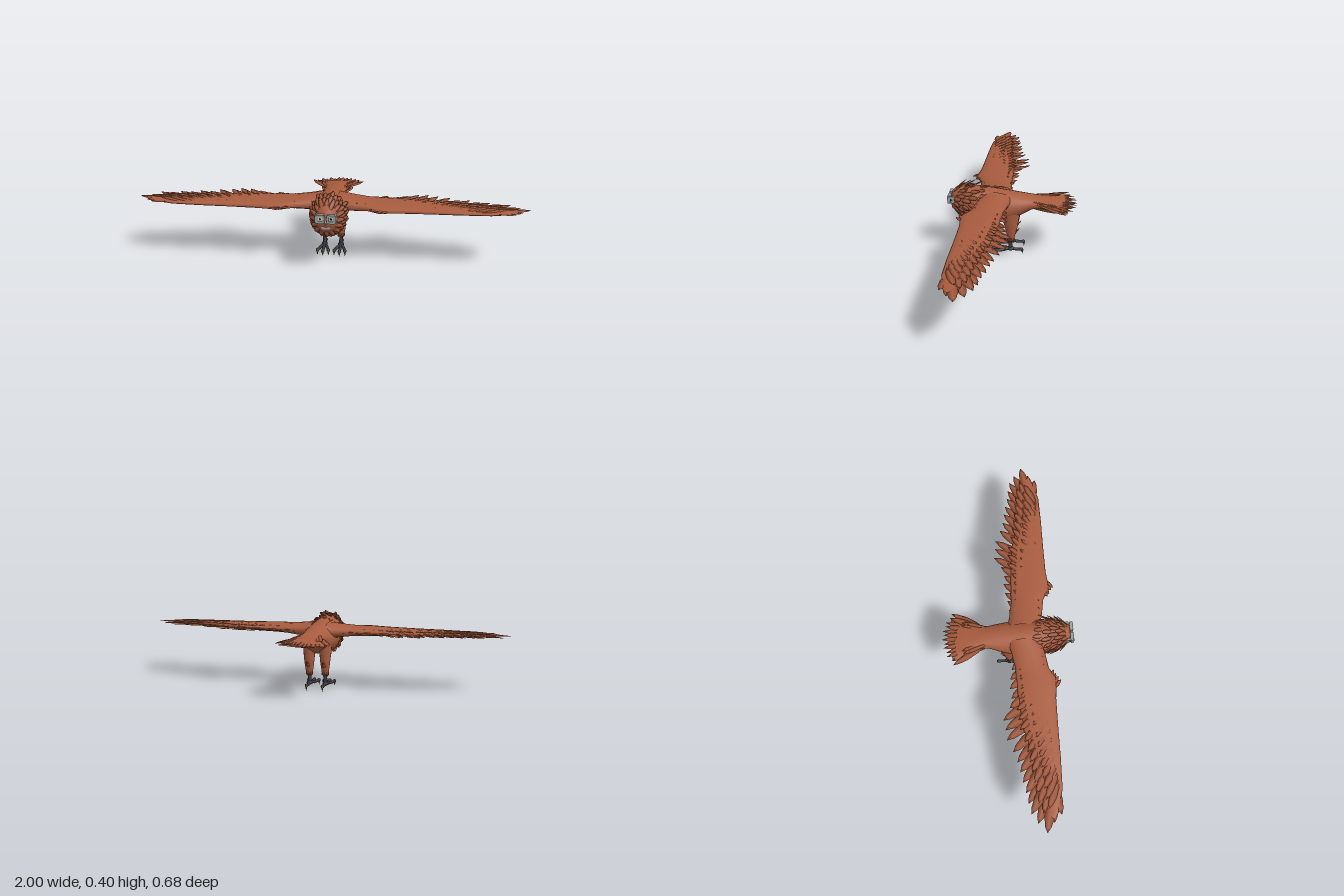
import * as THREE from 'three';
import { mergeGeometries } from 'three/addons/utils/BufferGeometryUtils.js';

const V = (x, y, z) => new THREE.Vector3(x, y, z);
const lerp = THREE.MathUtils.lerp;

function mat(name, color, side = THREE.FrontSide) {
  const m = new THREE.MeshStandardMaterial({ color, side });
  m.name = name;
  return m;
}

// Skin a list of equal-length closed rings of points
function loft(rings) {
  const n = rings[0].length, pos = [], idx = [];
  rings.forEach(r => r.forEach(p => pos.push(p.x, p.y, p.z)));
  for (let i = 0; i < rings.length - 1; i++)
    for (let j = 0; j < n; j++) {
      const a = i * n + j, b = i * n + (j + 1) % n;
      idx.push(a, b, a + n, b, b + n, a + n);
    }
  const g = new THREE.BufferGeometry();
  g.setAttribute('position', new THREE.Float32BufferAttribute(pos, 3));
  g.setIndex(idx);
  g.computeVertexNormals();
  return g;
}

// Thin pointed leaf from base to tip; "up" is the direction its flat side faces
function feather(base, tip, halfWidth, up, flat = 0.14) {
  const d = tip.clone().sub(base), len = d.length();
  d.normalize();
  const n = up.clone().addScaledVector(d, -up.dot(d)).normalize();
  const side = d.clone().cross(n);
  const profile = [[0, 0], [0.8, 0.25], [1, 0.6], [0.62, 0.85], [0, 1]];
  const g = new THREE.LatheGeometry(
    profile.map(([r, y]) => new THREE.Vector2(r * halfWidth, y * len)), 4);
  g.scale(1, 1, flat);
  const m = new THREE.Matrix4().makeBasis(side, d, n).setPosition(base);
  return g.applyMatrix4(m);
}

// Body cross-sections: z, top, bottom, half width
const BODY = [
  [0.327, 0.300, 0.275, 0.010], [0.322, 0.338, 0.240, 0.040], [0.30, 0.358, 0.218, 0.058],
  [0.26, 0.368, 0.193, 0.074], [0.20, 0.369, 0.175, 0.084], [0.15, 0.364, 0.174, 0.087],
  [0.10, 0.357, 0.183, 0.088], [0.05, 0.350, 0.189, 0.087], [0.00, 0.344, 0.196, 0.083],
  [-0.05, 0.337, 0.226, 0.073], [-0.10, 0.331, 0.258, 0.060], [-0.14, 0.323, 0.268, 0.062],
  [-0.20, 0.311, 0.272, 0.085], [-0.26, 0.302, 0.274, 0.116], [-0.29, 0.290, 0.284, 0.118],
];

function bodyPoint(z, a) {
  let i = 0;
  while (i < BODY.length - 2 && z < BODY[i + 1][0]) i++;
  const p = BODY[i], q = BODY[i + 1], t = (p[0] - z) / (p[0] - q[0]);
  const [top, bot, w] = [1, 2, 3].map(k => lerp(p[k], q[k], t));
  return V(Math.cos(a) * w, (top + bot) / 2 + Math.sin(a) * (top - bot) / 2, z);
}

// Wing cross-sections: x, front z, back z, half thickness
const WING = [
  [0.04, 0.17, 0.00, 0.045], [0.10, 0.185, 0.015, 0.036], [0.19, 0.20, 0.03, 0.026],
  [0.25, 0.236, 0.03, 0.024], [0.35, 0.224, 0.035, 0.021], [0.50, 0.222, 0.05, 0.017],
  [0.65, 0.222, 0.09, 0.014], [0.80, 0.218, 0.12, 0.010], [0.91, 0.19, 0.14, 0.006],
  [0.95, 0.16, 0.14, 0.001],
];
// Flight feather tips: x, z
const TIPS = [
  [0.14, 0.015], [0.19, 0.01], [0.24, 0.00], [0.29, -0.005], [0.34, 0.00], [0.39, -0.012],
  [0.45, -0.048], [0.50, -0.04], [0.55, -0.035], [0.61, -0.008], [0.66, 0.01], [0.71, 0.02],
  [0.76, 0.03], [0.81, 0.042], [0.86, 0.05], [0.91, 0.062], [0.955, 0.09], [1.0, 0.13],
  [0.955, 0.168], [0.92, 0.205],
];

export function createModel() {
  const root = new THREE.Group();
  root.name = 'bird';
  const plumage = mat('rust plumage', 0xa85c3f, THREE.DoubleSide);
  const skin = mat('charcoal skin', 0x3a3a3e);
  const horn = mat('olive horn', 0x6e6838);
  const metal = mat('grey metal', 0x9b9f9e);
  const dark = mat('dark lens', 0x22282a);
  const ivory = mat('ivory', 0xd8d6cc);
  const add = (parent, name, geo, m) => {
    const mesh = new THREE.Mesh(geo, m);
    mesh.name = name;
    parent.add(mesh);
    return mesh;
  };
  const box = (parent, name, m, w, h, d, x, y, z) =>
    add(parent, name, new THREE.BoxGeometry(w, h, d).translate(x, y, z), m);

  // Body running from face to tail
  const N = 24;
  add(root, 'body', loft(BODY.map(s =>
    Array.from({ length: N }, (_, j) => bodyPoint(s[0], j / N * Math.PI * 2)))), plumage);

  // Shaggy mane, swept backward in staggered rows
  const mane = [];
  [0.318, 0.295, 0.265, 0.23, 0.19].forEach((z, row) => {
    for (let j = 0; j < 16; j++) {
      const a = (j + row % 2 * 0.5) / 16 * Math.PI * 2;
      const up = Math.max(0, Math.sin(a));
      const p = bodyPoint(z, a), out = V(Math.cos(a), Math.sin(a), 0);
      const lift = row < 4 ? 0.017 + 0.013 * up * (j % 2) : 0.004;
      const z2 = z - 0.05 - 0.008 * (j % 3);
      const tip = bodyPoint(z2, a).addScaledVector(out, lift);
      mane.push(feather(p.addScaledVector(out, -0.004), tip, 0.012, out, 0.25));
    }
  });
  add(root, 'mane', mergeGeometries(mane), plumage);

  // Tail fan
  const tail = [];
  for (let i = -6; i <= 6; i++) {
    const t = i / 6, y = 0.292 + (i % 2) * 0.004;
    tail.push(feather(V(t * 0.05, y + 0.012, -0.12),
      V(t * 0.142, y, -0.342 + 0.055 * t * t + (i % 2 ? 0.008 : 0)), 0.017, V(0, 1, 0)));
    if (Math.abs(i) < 6) for (const s of [1, -1])
      tail.push(feather(V(t * 0.045, 0.297 + s * 0.02, -0.09),
        V(t * 0.105, 0.288 + s * 0.014, -0.25 + 0.02 * t * t), 0.012, V(0, 1, 0)));
  }
  add(root, 'tailFeathers', mergeGeometries(tail), plumage);

  // Face: beak and small teeth
  const beak = new THREE.ConeGeometry(0.012, 0.022, 6).rotateX(Math.PI / 2 + 0.4);
  add(root, 'beak', beak.translate(0, 0.277, 0.331), metal);
  box(root, 'jaw', metal, 0.046, 0.012, 0.012, 0, 0.252, 0.318);
  for (let i = -2; i <= 2; i++)
    add(root, 'tooth', new THREE.ConeGeometry(0.004, 0.012, 5)
      .translate(i * 0.009, 0.264, 0.323 - Math.abs(i) * 0.001), ivory);
  box(root, 'goggleBridge', metal, 0.018, 0.008, 0.008, 0, 0.305, 0.332);

  for (const s of [1, -1]) {
    const label = s > 0 ? 'left' : 'right';

    // Goggles: framed front lens and framed side lens
    const goggle = new THREE.Group();
    goggle.name = label + 'Goggle';
    root.add(goggle);
    for (const k of [-1, 1]) {
      box(goggle, 'frameBar', metal, 0.038, 0.012, 0.018, s * 0.026, 0.303 + k * 0.016, 0.332);
      box(goggle, 'framePost', metal, 0.01, 0.036, 0.018, s * (0.026 + k * 0.015), 0.303, 0.331);
      box(goggle, 'sideBlock', metal, 0.012, 0.038, 0.015, s * 0.046, 0.303, 0.322 + k * 0.012);
    }
    box(goggle, 'sidePanel', metal, 0.008, 0.034, 0.034, s * 0.044, 0.303, 0.322);
    box(goggle, 'sideLens', dark, 0.004, 0.012, 0.008, s * 0.0485, 0.303, 0.322);
    box(goggle, 'lens', ivory, 0.022, 0.022, 0.008, s * 0.026, 0.303, 0.331);
    box(goggle, 'pupil', dark, 0.009, 0.009, 0.003, s * 0.026, 0.303, 0.336);

    // Wing: thin lens-shaped core
    const wing = new THREE.Group();
    wing.name = label + 'Wing';
    root.add(wing);
    const M = 14;
    add(wing, 'wingCore', loft(WING.map(([x, zf, zb, h]) =>
      Array.from({ length: M }, (_, j) => {
        const a = -s * j / M * Math.PI * 2;
        return V(s * x, 0.31 + Math.sin(a) * h, (zf + zb) / 2 + Math.cos(a) * (zf - zb) / 2);
      }))), plumage);

    // Flight feathers, then shorter coverts above and below
    const up = V(0, 1, 0), plumes = [];
    TIPS.forEach(([x, z], i) => {
      const y = 0.31 + (i % 2 ? 0.002 : -0.002);
      const reach = 0.07 + 0.12 * x;
      const bz = lerp(0.13, 0.17, x);
      plumes.push(feather(V(s * (x - reach), y, bz), V(s * x, y, z), 0.025, up, 0.12));
      if (i < 17) for (const k of [1, -1]) for (const row of [0, 1]) {
        const h = (0.022 - 0.015 * x) * (row ? 1.05 : 0.8);
        const b = V(s * (x - reach * 1.1), 0.31 + k * h, bz + row * 0.035);
        const tip = V(s * (x - 0.045 - row * 0.02), 0.31 + k * (h + 0.002), lerp(z, bz, 0.35 + row * 0.35));
        plumes.push(feather(b, tip, 0.018, up, 0.15));
      }
    });
    // Ruffled tufts at the wing bend
    for (let i = 0; i < 4; i++)
      plumes.push(feather(V(s * (0.31 - i * 0.01), 0.31, 0.2 - i * 0.005),
        V(s * (0.255 - i * 0.018), 0.31 + (i % 2) * 0.006, 0.256 - i * 0.011), 0.013, up, 0.3));
    add(wing, 'wingFeathers', mergeGeometries(plumes), plumage);

    // Feathered leg: y, centre z, half width, half depth
    const leg = new THREE.Group();
    leg.name = label + 'Leg';
    root.add(leg);
    const lx = s * 0.044;
    const thigh = [[0.25, 0.01, 0.034, 0.052], [0.20, 0.01, 0.031, 0.043], [0.17, 0.006, 0.028, 0.036],
      [0.14, 0.006, 0.025, 0.029], [0.11, 0.007, 0.021, 0.021], [0.08, 0.008, 0.017, 0.016],
      [0.079, 0.008, 0.001, 0.001]];
    add(leg, 'thigh', loft(thigh.map(([y, z, w, d]) => Array.from({ length: 16 }, (_, j) => {
      const a = j / 16 * Math.PI * 2;
      return V(lx + Math.cos(a) * w, y, z + Math.sin(a) * d);
    }))), plumage);
    const cuff = [];
    for (let j = 0; j < 10; j++) {
      const a = j / 10 * Math.PI * 2, out = V(Math.cos(a), 0, Math.sin(a));
      cuff.push(feather(V(lx, 0.115, 0.008).addScaledVector(out, 0.016),
        V(lx, 0.073 + (j % 2) * 0.005, 0.008).addScaledVector(out, 0.019), 0.007, out, 0.3));
    }
    cuff.push(feather(V(lx, 0.115, -0.01), V(lx, 0.158, -0.039), 0.009, V(0, 0, -1), 0.4));
    add(leg, 'legFeathers', mergeGeometries(cuff), plumage);

    // Shank, toes and hooked claws
    add(leg, 'shank', new THREE.CylinderGeometry(0.009, 0.011, 0.06, 10).translate(lx, 0.06, 0.01), skin);
    add(leg, 'footPad', new THREE.SphereGeometry(0.016, 12, 8).scale(1, 0.75, 1.3).translate(lx, 0.032, 0.01), skin);
    [[-0.029, 0.093], [0, 0.104], [0.029, 0.093], [0, -0.05]].forEach(([dx, z]) => {
      const end = V(lx + dx, 0.029, z);
      const path = new THREE.CatmullRomCurve3([V(lx, 0.034, 0.01),
        V(lx + dx * 0.6, 0.028, lerp(0.01, z, 0.5)), end]);
      add(leg, 'toe', new THREE.TubeGeometry(path, 8, 0.008, 8), skin);
      add(leg, 'knuckle', new THREE.SphereGeometry(0.0095, 10, 8).translate(end.x, end.y, end.z), skin);
      const claw = new THREE.ConeGeometry(0.007, 0.028, 8).rotateX(Math.PI);
      add(leg, 'claw', claw.translate(end.x, 0.0145, end.z + Math.sign(z) * 0.004), horn);
    });
  }
  return root;
}
